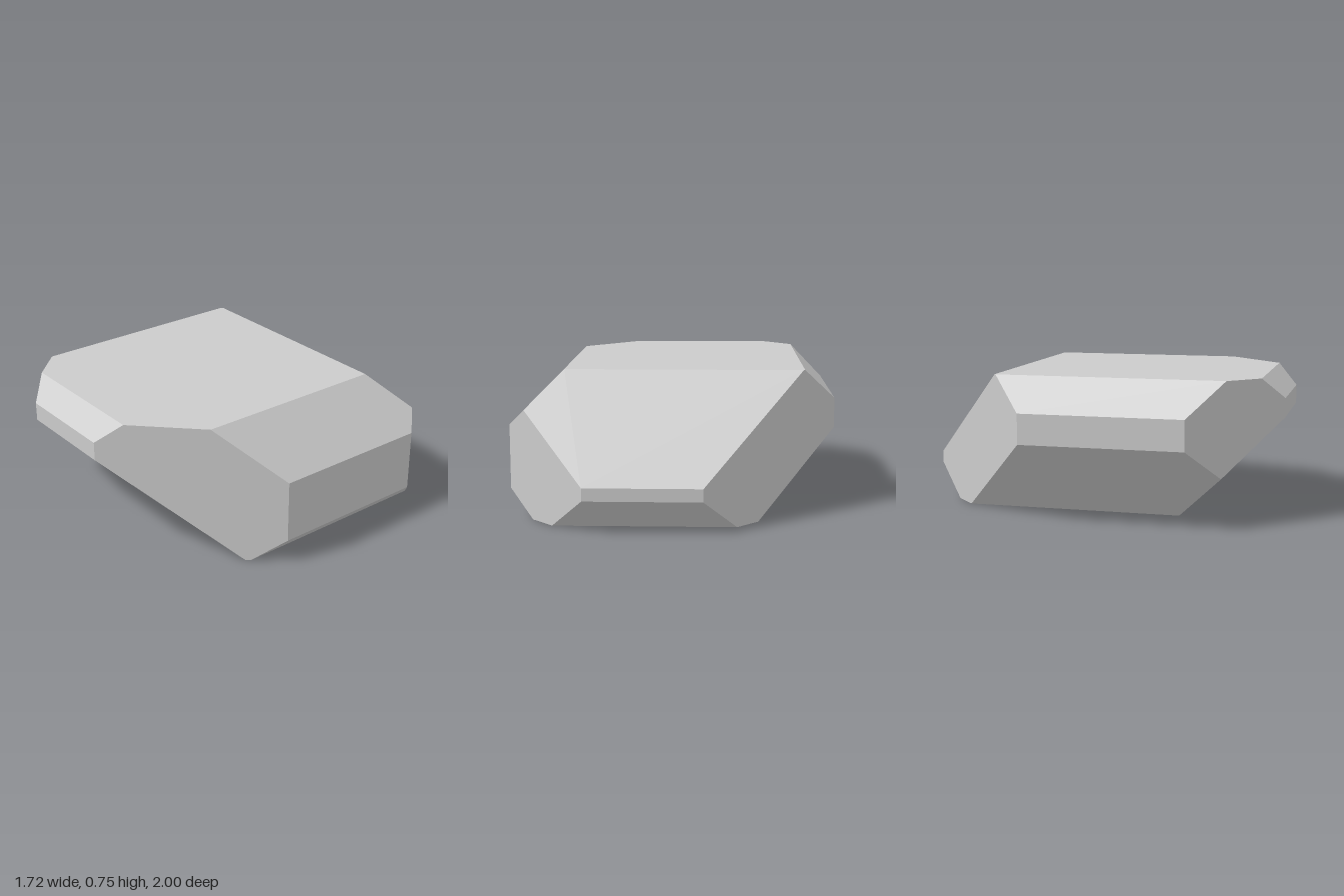
import * as THREE from 'three';
import { ConvexGeometry } from 'three/addons/geometries/ConvexGeometry.js';

// Cutting planes [nx, ny, nz, d]: the solid is where nx*x + ny*y + nz*z <= d
const PLANES = [
  // flat sides
  [1, 0, 0, 0.86], [-1, 0, 0, 0.86],
  [0, 1, 0, 0.755], [0, -1, 0, 0],
  [0, 0, 1, 1], [0, 0, -1, 1],
  // 45 degree cuts along the vertical edges
  [1, 0, 1, 1.16], [1, 0, -1, 1.44], [-1, 0, 1, 1.42], [-1, 0, -1, 1.16],
  // 45 degree cuts along the left and right edges
  [1, 1, 0, 1.335], [-1, 1, 0, 1.44], [1, -1, 0, 0.725], [-1, -1, 0, 0.44],
  // 45 degree cuts along the front and back edges
  [0, 1, 1, 1.645], [0, -1, 1, 0.455], [0, 1, -1, 1.237], [0, -1, -1, 0.83],
];

// Corners of the solid: points where three planes meet and no plane cuts them off
function cornersOf(planes) {
  const corners = [];
  const normals = planes.map(([x, y, z]) => new THREE.Vector3(x, y, z));
  for (let i = 0; i < planes.length; i++) {
    for (let j = i + 1; j < planes.length; j++) {
      for (let k = j + 1; k < planes.length; k++) {
        const jk = normals[j].clone().cross(normals[k]);
        const det = normals[i].dot(jk);
        if (Math.abs(det) < 1e-6) continue;
        const p = jk.multiplyScalar(planes[i][3])
          .addScaledVector(normals[k].clone().cross(normals[i]), planes[j][3])
          .addScaledVector(normals[i].clone().cross(normals[j]), planes[k][3])
          .divideScalar(det);
        const inside = planes.every((pl, n) => normals[n].dot(p) <= pl[3] + 1e-6);
        if (inside && !corners.some((c) => c.distanceTo(p) < 1e-4)) corners.push(p);
      }
    }
  }
  return corners;
}

export function createModel() {
  const model = new THREE.Group();
  model.name = 'facetedRock';

  // Faceted stone body
  const stone = new THREE.Mesh(
    new ConvexGeometry(cornersOf(PLANES)),
    new THREE.MeshStandardMaterial({ color: 0xcccccc, flatShading: true }),
  );
  stone.name = 'stone';
  model.add(stone);
  return model;
}
